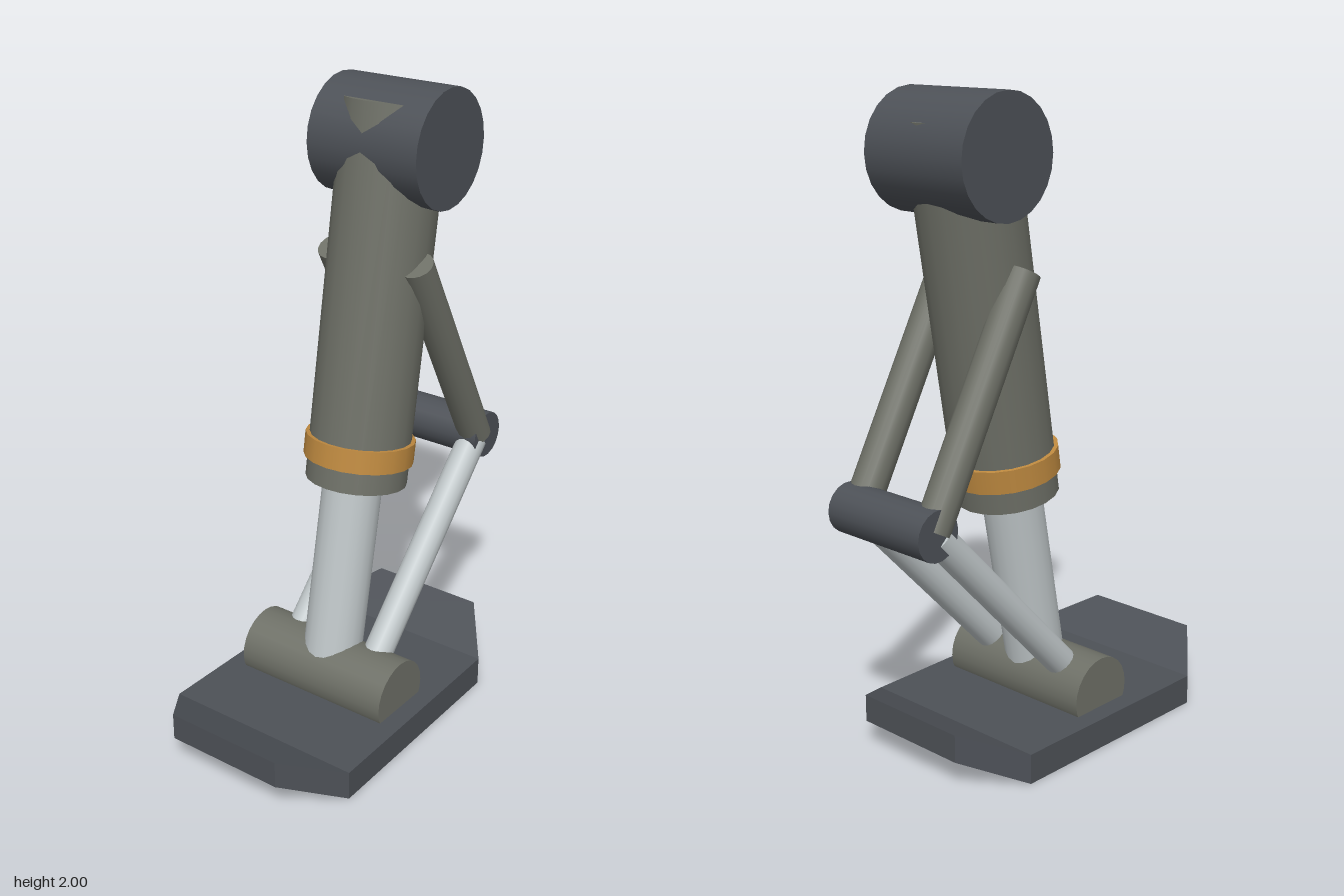
import * as THREE from 'three';

const paint = (name, color) => {
  const m = new THREE.MeshStandardMaterial({ color });
  m.name = name;
  return m;
};

export function createModel() {
  const dark = paint('dark slate', 0x4d5157);
  const grey = paint('warm grey', 0x6e7067);
  const steel = paint('light steel', 0xbfc6c8);
  const amber = paint('amber', 0xbf8a40);

  const model = new THREE.Group();
  model.name = 'mechanicalLeg';

  // Cylinder running between two points
  function rod(name, material, from, to, radius, sides = 20) {
    const a = new THREE.Vector3(...from);
    const b = new THREE.Vector3(...to);
    const dir = b.clone().sub(a);
    const mesh = new THREE.Mesh(new THREE.CylinderGeometry(radius, radius, dir.length(), sides), material);
    mesh.position.copy(a).add(b).multiplyScalar(0.5);
    mesh.quaternion.setFromUnitVectors(new THREE.Vector3(0, 1, 0), dir.normalize());
    mesh.name = name;
    model.add(mesh);
  }

  // Horizontal cylinder centred across the leg
  const axle = (name, material, y, z, radius, half, sides) =>
    rod(name, material, [-half, y, z], [half, y, z], radius, sides);

  // Foot: cross-sections from toe to heel [z, half width, bottom, top]
  const sections = [
    [0.613, 0.2, 0.09, 0.177],
    [0.435, 0.34, 0, 0.095],
    [-0.31, 0.33, 0, 0.095],
    [-0.49, 0.195, 0.09, 0.177],
  ];
  const points = [];
  const faces = [0, 3, 2, 0, 2, 1];
  sections.forEach(([z, w, low, high], s) => {
    points.push(-w, high, z, w, high, z, w, low, z, -w, low, z);
    if (s === sections.length - 1) return;
    for (let i = 0; i < 4; i++) {
      const a = s * 4 + i;
      const b = s * 4 + ((i + 1) % 4);
      faces.push(a, b, b + 4, a, b + 4, a + 4);
    }
  });
  faces.push(12, 13, 14, 12, 14, 15);
  const indexed = new THREE.BufferGeometry();
  indexed.setAttribute('position', new THREE.Float32BufferAttribute(points, 3));
  indexed.setIndex(faces);
  const footGeometry = indexed.toNonIndexed();
  footGeometry.computeVertexNormals();
  const foot = new THREE.Mesh(footGeometry, dark);
  foot.name = 'foot';
  model.add(foot);

  // Joints
  axle('ankle', grey, 0.14, 0.073, 0.117, 0.273, 24);
  axle('hipDrum', dark, 1.82, -0.257, 0.181, 0.194, 24);
  axle('linkageBar', dark, 0.8, -0.538, 0.077, 0.19, 18);

  // Main strut: sleeve, collar and piston
  rod('sleeve', grey, [0, 0.775, -0.064], [0, 1.938, -0.259], 0.161);
  rod('collar', amber, [0, 0.846, -0.076], [0, 0.918, -0.088], 0.174);
  rod('piston', steel, [0, 0.14, 0.075], [0, 0.9, -0.07], 0.095);

  // Paired folding links behind the strut
  for (const [side, x] of [['left', 0.15], ['right', -0.15]]) {
    rod(side + 'UpperLink', grey, [x, 0.8, -0.525], [x, 1.488, -0.154], 0.054, 16);
    rod(side + 'LowerLink', steel, [x, 0.17, 0.075], [x, 0.785, -0.512], 0.048, 16);
  }

  return model;
}
